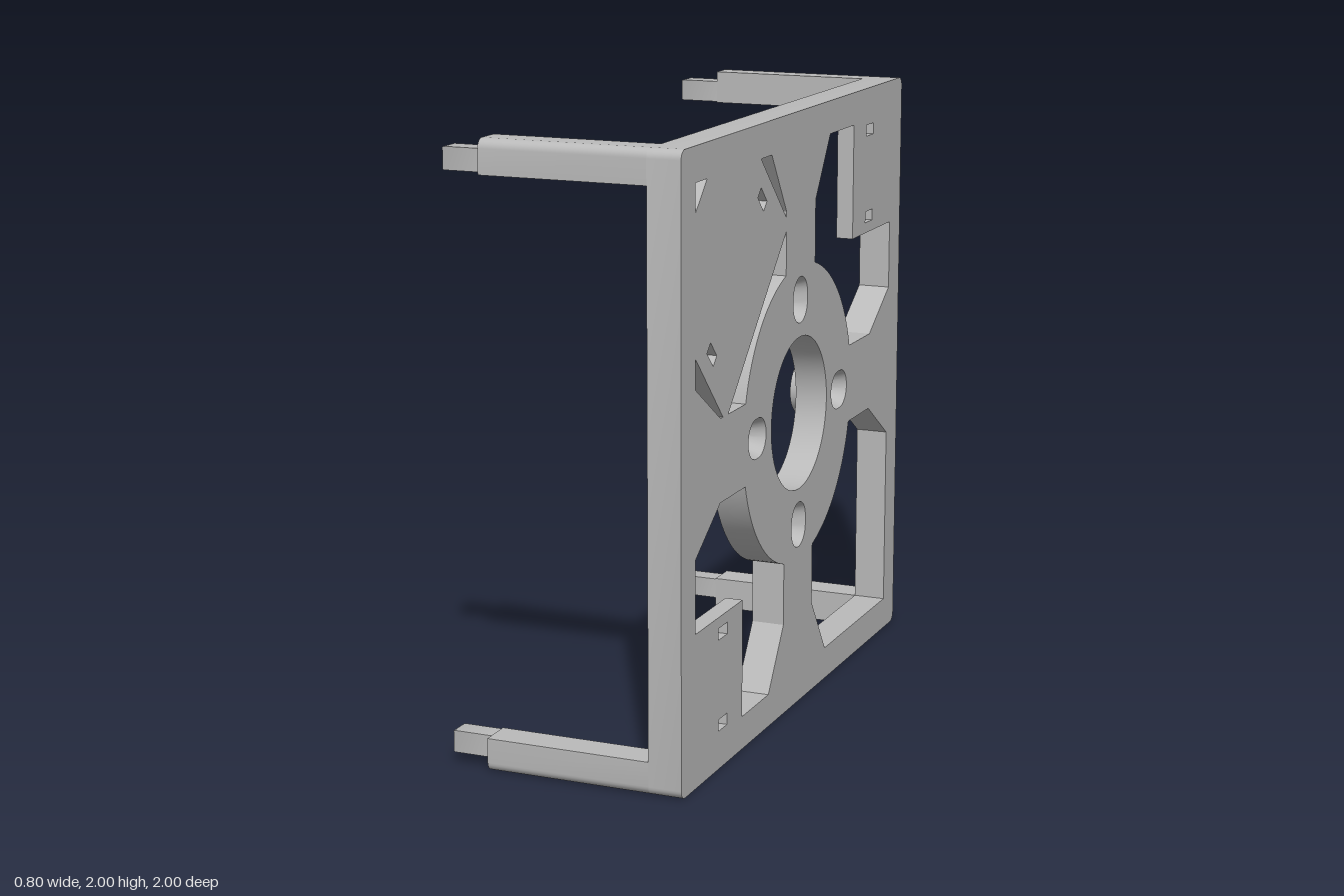
import * as THREE from 'three';
import { toCreasedNormals } from 'three/addons/utils/BufferGeometryUtils.js';

const gray = new THREE.MeshStandardMaterial({ color: 0xbababa });
gray.name = 'light gray';

const FRONT = 0.4, BACK = 0.29, INNER = 0.89, ROUND = 0.03;
const QUADRANTS = [[1, 1], [-1, 1], [-1, -1], [1, -1]];
const vec = ([x, y]) => new THREE.Vector2(x, y);
const mirror = (pts, a, b) => pts.map(([x, y]) => vec([x * a, y * b]));

// points on an arc about (cx, cy)
function arc(cx, cy, r, from, to, n) {
  return Array.from({ length: n + 1 }, (_, i) => {
    const t = from + (to - from) * i / n;
    return [cx + r * Math.cos(t), cy + r * Math.sin(t)];
  });
}

// slot outline, stretched along the first axis
const slot = (r, h) => [
  ...arc(h, 0, r, -Math.PI / 2, Math.PI / 2, 16),
  ...arc(-h, 0, r, Math.PI / 2, Math.PI * 1.5, 16)];

const rect = (x, y, w, h) =>
  [[x - w / 2, y - h / 2], [x + w / 2, y - h / 2], [x + w / 2, y + h / 2], [x - w / 2, y + h / 2]];

const turn = (pts, t) => pts.map(([x, y]) =>
  [x * Math.cos(t) - y * Math.sin(t), x * Math.sin(t) + y * Math.cos(t)]);

// extrude an outline with holes between two depths
function slab(name, outline, holes, from, to) {
  const shape = new THREE.Shape(outline);
  shape.holes = holes.map(h => new THREE.Path(h));
  const g = new THREE.ExtrudeGeometry(shape, { depth: to - from, bevelEnabled: false });
  g.translate(0, 0, from);
  const mesh = new THREE.Mesh(toCreasedNormals(g, 0.5), gray);
  mesh.name = name;
  return mesh;
}

// countersunk slot with a raised boss on the back, lofted from slot rings
function bossGeometry() {
  const rings = [[0.065, FRONT], [0.0325, 0.31], [0.0325, 0.26], [0.0875, 0.26], [0.0875, BACK]]
    .map(([r, w]) => slot(r, 0.012).map(([x, y]) => [x, y, w]));
  const pos = [], n = rings[0].length;
  for (let j = 0; j < rings.length - 1; j++) {
    for (let i = 0; i < n; i++) {
      const k = (i + 1) % n;
      const a = rings[j][i], b = rings[j][k], c = rings[j + 1][k], d = rings[j + 1][i];
      pos.push(...a, ...b, ...d, ...b, ...c, ...d);
    }
  }
  const g = new THREE.BufferGeometry();
  g.setAttribute('position', new THREE.Float32BufferAttribute(pos, 3));
  return toCreasedNormals(g, 0.5);
}

export function createModel() {
  const root = new THREE.Group();
  root.name = 'mountingFrame';
  // built facing +z, then turned so the plate faces +x
  const body = new THREE.Group();
  body.name = 'body';
  body.rotation.y = Math.PI / 2;
  body.position.y = 1;
  root.add(body);

  // main plate: ring, four arms and square border
  const a0 = Math.asin(0.134 / 0.5);
  const windowPts = [
    [0.134, 0.69], [0.268, INNER], [INNER, INNER], [INNER, 0.265], [0.69, 0.134],
    ...arc(0, 0, 0.5, a0, Math.PI / 2 - a0, 20)];
  const corner = arc(1 - ROUND, 1 - ROUND, ROUND, 0, Math.PI / 2, 6);
  const outline = [0, 1, 2, 3].flatMap(k => turn(corner, k * Math.PI / 2)).map(vec);
  const screwTurns = [0, 1, 2, 3].map(k => k * Math.PI / 2);
  const screwHoles = screwTurns.map(t =>
    turn(slot(0.065, 0.012).map(([x, y]) => [x + 0.38, y]), t).map(vec));
  const centre = arc(0, 0, 0.257, 0, Math.PI * 2, 64).slice(0, -1).map(vec);
  body.add(slab('mainPlate', outline,
    [...QUADRANTS.map(([a, b]) => mirror(windowPts, a, b)), centre, ...screwHoles], BACK, FRONT));

  // screw bosses
  const boss = bossGeometry();
  for (const t of screwTurns) {
    const m = new THREE.Mesh(boss, gray);
    m.name = 'screwBoss';
    m.position.set(0.38 * Math.cos(t), 0.38 * Math.sin(t), 0);
    m.rotation.z = t;
    body.add(m);
  }

  // thin square tabs in two opposite windows
  const thin = 0.342;
  for (const s of [1, -1]) {
    body.add(slab('cornerTab', mirror(rect(0.695, 0.695, 0.39, 0.39), s, s),
      [0.555, 0.855].map(y => mirror(rect(0.665, y, 0.072, 0.038), s, s)), thin, FRONT));
  }

  // thin diagonal plate in the third window
  const diagonal = [[-0.134, 0.627], [-0.134, 0.67], [-0.36, INNER], [-0.8, INNER],
    [-INNER, 0.8], [-INNER, 0.36], [-0.67, 0.134], [-0.627, 0.134]];
  const diagonalSlots = [1, -1].map(s =>
    turn(rect(0.292 * s, 0.784, 0.04, 0.07), Math.PI / 4).map(vec));
  body.add(slab('diagonalPlate', diagonal.map(vec), diagonalSlots, thin, FRONT));

  // corner legs with stepped pegs
  const legPts = [[INNER, INNER], [1, INNER], ...corner, [INNER, 1]];
  for (const [a, b] of QUADRANTS) {
    body.add(slab('leg', mirror(legPts, a, b), [], -0.26, BACK));
    const bevel = 0.008;
    const g = new THREE.ExtrudeGeometry(
      new THREE.Shape(mirror(rect(0.929, 0.929, 0.072, 0.072), a, b)),
      { depth: 0.15, bevelThickness: bevel, bevelSize: bevel, bevelOffset: -bevel, bevelSegments: 2 });
    g.translate(0, 0, -0.4 + bevel);
    const peg = new THREE.Mesh(toCreasedNormals(g, 0.5), gray);
    peg.name = 'peg';
    body.add(peg);
  }
  return root;
}
